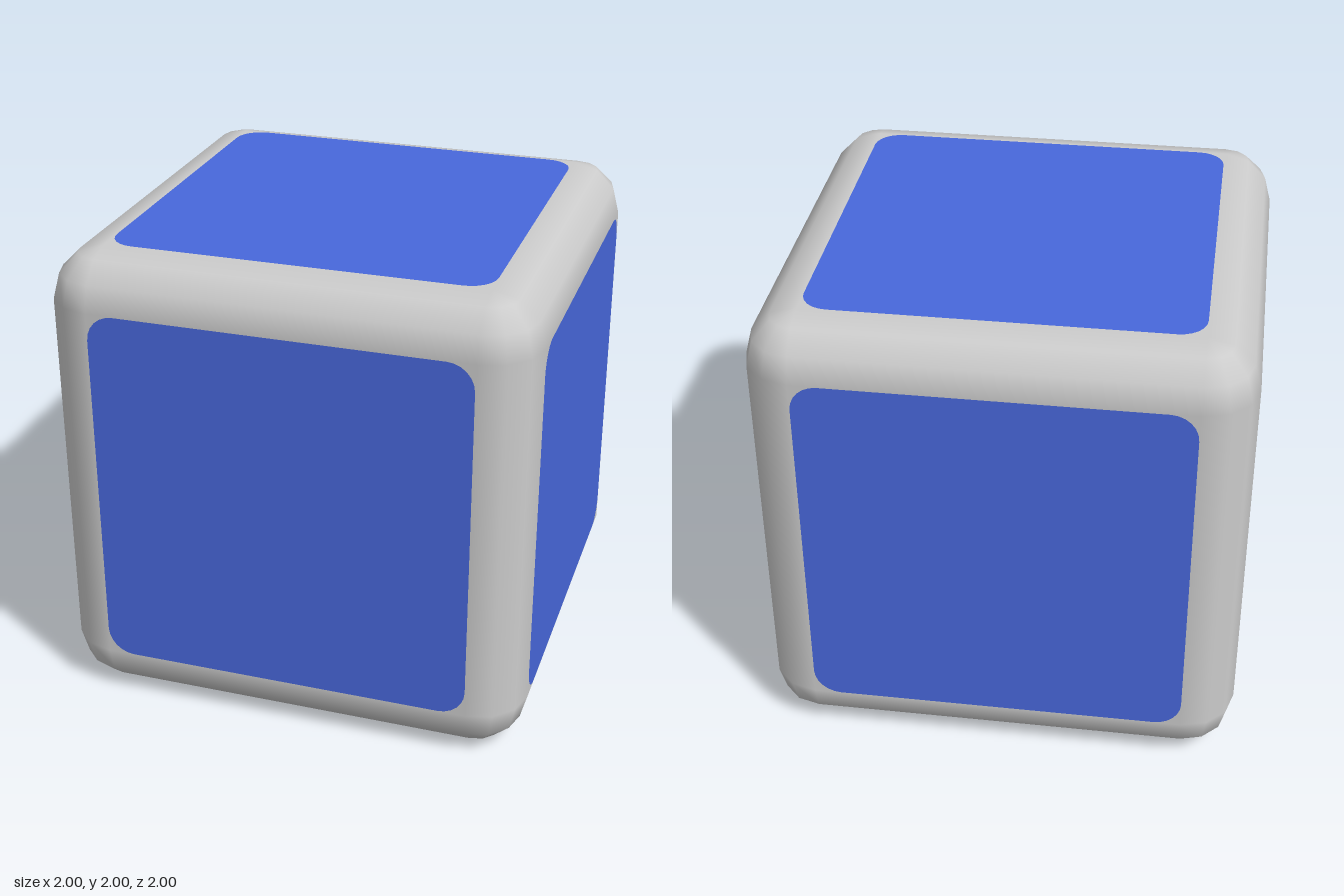
import * as THREE from 'three';
import { mergeGeometries } from 'three/addons/utils/BufferGeometryUtils.js';

const HALF = 1;          // half the cube's side
const BEVEL = 0.215;     // radius of the rounded edges
const FLAT = HALF - BEVEL;
const PANEL = 0.783;     // half the side of a coloured panel
const PANEL_R = 0.112;   // panel corner radius
const STEPS = 3;         // segments per quarter round
const Q = Math.PI / 2;

// Rounded square outline, drawn into a Shape or a Path
function roundedSquare(path, h, r) {
  const c = h - r;
  path.moveTo(c, -h);
  path.absarc(c, -c, r, -Q, 0);
  path.absarc(c, c, r, 0, Q);
  path.absarc(-c, c, r, Q, 2 * Q);
  path.absarc(-c, -c, r, 2 * Q, 3 * Q);
  path.closePath();
  return path;
}

// Rotations taking the front (+z) to each of the six faces
const faces = [
  ['front', 0, 0], ['left', 0, Q], ['back', 0, 2 * Q],
  ['right', 0, -Q], ['top', -Q, 0], ['bottom', Q, 0],
];

function createBody() {
  const parts = [];

  // Flat grey rim around each panel
  const rim = new THREE.Shape();
  rim.moveTo(-FLAT, -FLAT).lineTo(FLAT, -FLAT).lineTo(FLAT, FLAT).lineTo(-FLAT, FLAT).closePath();
  rim.holes.push(roundedSquare(new THREE.Path(), PANEL, PANEL_R));
  const rimGeometry = new THREE.ShapeGeometry(rim, STEPS).translate(0, 0, HALF);
  for (const [, rx, ry] of faces) parts.push(rimGeometry.clone().rotateX(rx).rotateY(ry));

  // Twelve quarter-round edges, four along each axis
  const edge = new THREE.CylinderGeometry(BEVEL, BEVEL, 2 * FLAT, STEPS, 1, true, 0, Q)
    .translate(FLAT, 0, FLAT);
  // Eight corners, each an eighth of a sphere
  const corner = new THREE.SphereGeometry(BEVEL, STEPS, STEPS, Q, Q, 0, Q)
    .translate(FLAT, FLAT, FLAT);
  for (let i = 0; i < 4; i++) {
    const upright = edge.clone().rotateY(i * Q);
    parts.push(upright, upright.clone().rotateX(Q), upright.clone().rotateZ(Q));
    const upper = corner.clone().rotateY(i * Q);
    parts.push(upper, upper.clone().rotateX(Math.PI));
  }
  return mergeGeometries(parts);
}

export function createModel() {
  const model = new THREE.Group();
  model.name = 'roundedCube';
  const grey = new THREE.MeshStandardMaterial({ color: 0xcccccc });
  const blue = new THREE.MeshStandardMaterial({ color: 0x4868dc });

  const body = new THREE.Mesh(createBody(), grey);
  body.name = 'body';
  body.position.y = HALF;
  model.add(body);

  // Coloured panel flush with each face
  const panelShape = roundedSquare(new THREE.Shape(), PANEL, PANEL_R);
  const panelGeometry = new THREE.ShapeGeometry(panelShape, STEPS).translate(0, 0, HALF);
  for (const [name, rx, ry] of faces) {
    const panel = new THREE.Mesh(panelGeometry, blue);
    panel.name = `${name}Panel`;
    panel.rotation.set(rx, ry, 0);
    panel.position.y = HALF;
    model.add(panel);
  }
  return model;
}
